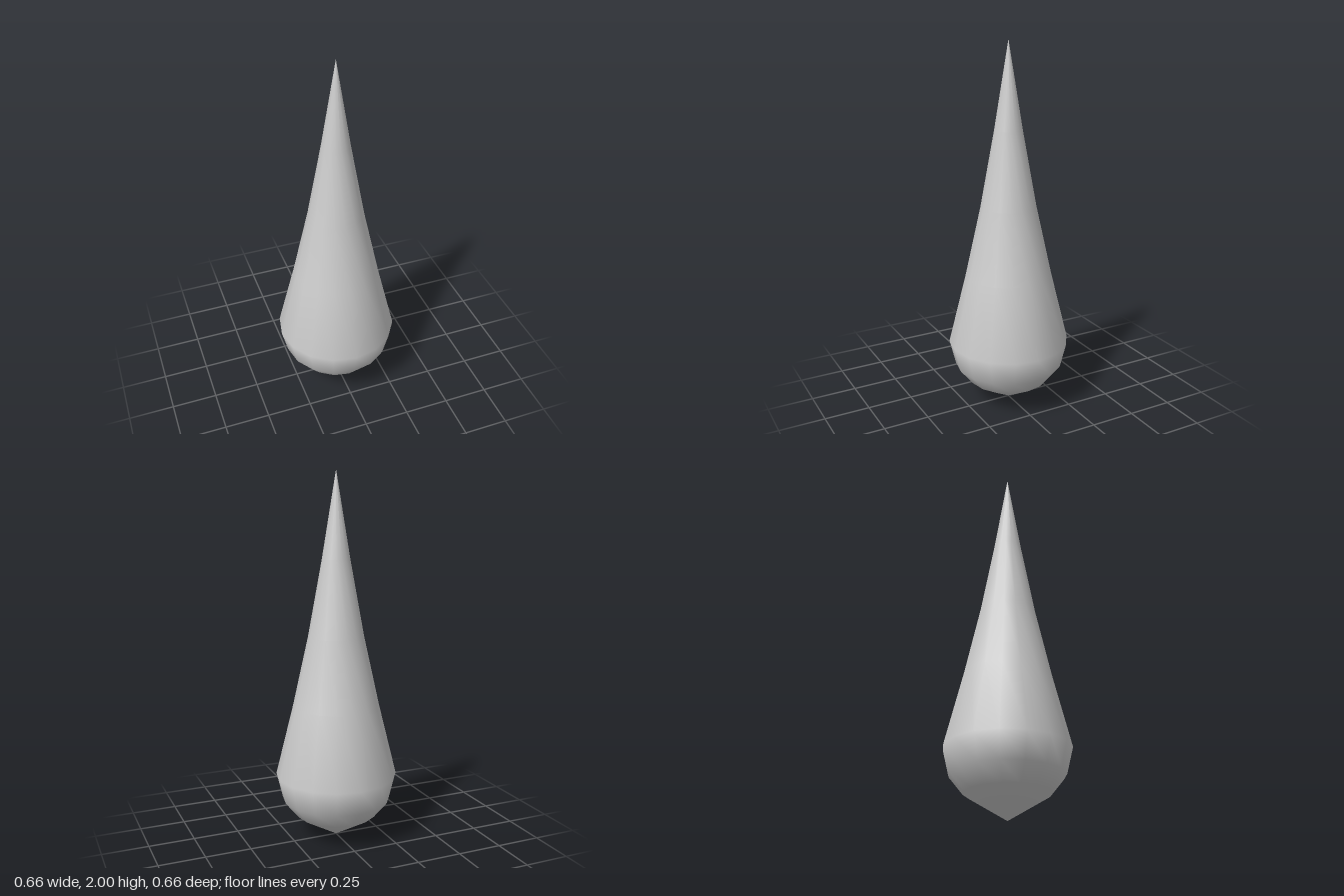
import * as THREE from 'three';

export function createModel() {
  const group = new THREE.Group();
  group.name = 'teardrop';

  // Radius and height from the bottom tip to the top tip
  const profile = [
    [0, 0], [0.222, 0.133], [0.297, 0.225], [0.33, 0.362],
    [0.234, 0.75], [0.15, 1.13], [0.075, 1.54], [0, 2],
  ].map(([r, y]) => new THREE.Vector2(r, y));

  // Sixteen-sided smooth drop body
  const body = new THREE.Mesh(
    new THREE.LatheGeometry(profile, 16),
    new THREE.MeshStandardMaterial({ color: 0xcccccc })
  );
  body.name = 'dropBody';
  group.add(body);

  return group;
}
